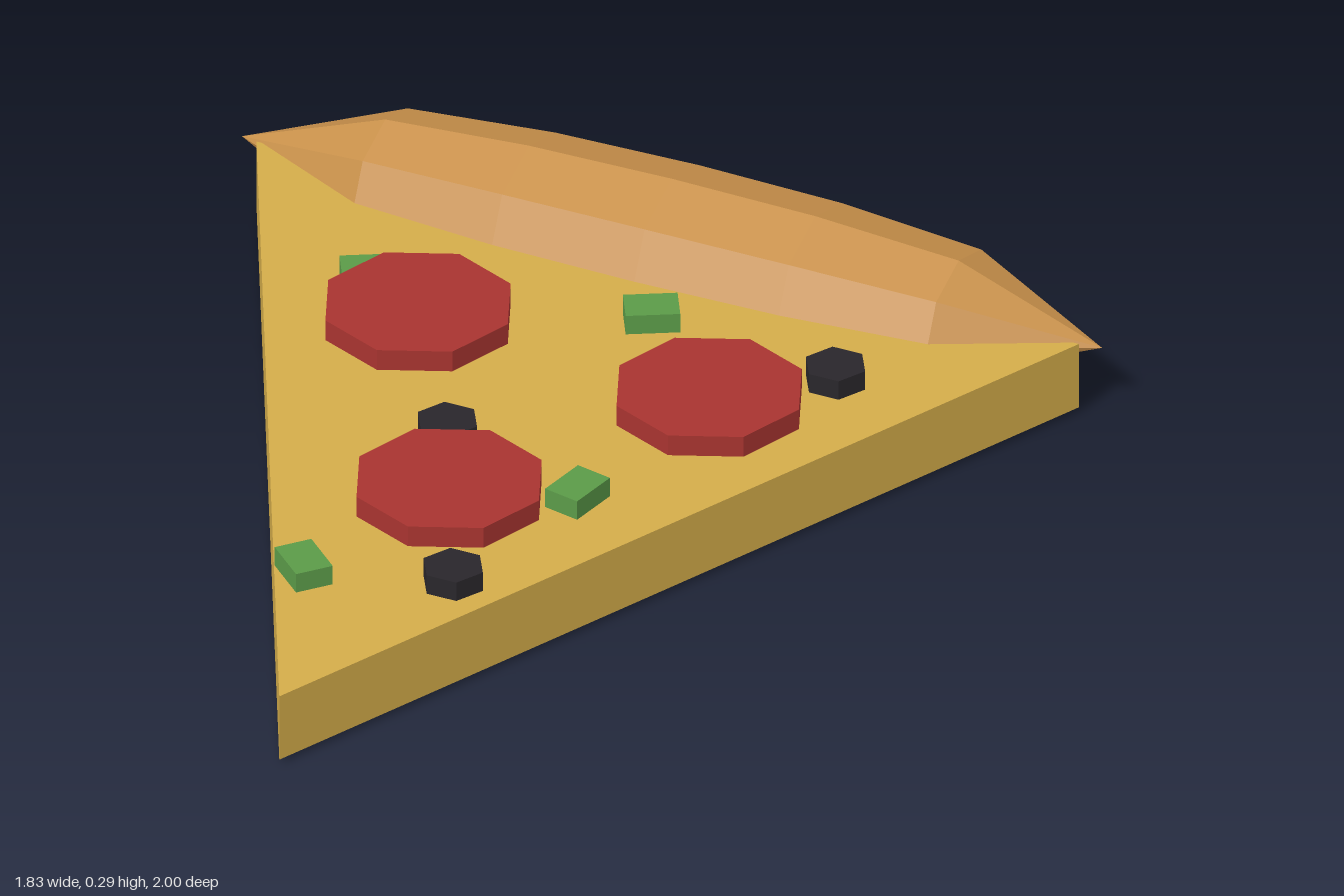
import * as THREE from 'three';

const mat = (color) => new THREE.MeshStandardMaterial({ color, flatShading: true });

export function createModel() {
  const group = new THREE.Group();
  const add = (name, geometry, material, x = 0, y = 0, z = 0, turn = 0) => {
    const mesh = new THREE.Mesh(geometry, material);
    mesh.name = name;
    mesh.position.set(x, y, z);
    mesh.rotation.y = turn;
    group.add(mesh);
    return mesh;
  };

  // Triangular cheese slab, tip towards the front
  const bottom = 0.015, top = 0.16;
  const outline = new THREE.Shape([
    new THREE.Vector2(-0.875, 0.8),
    new THREE.Vector2(0, -1),
    new THREE.Vector2(0.875, 0.8),
  ]);
  const slab = new THREE.ExtrudeGeometry(outline, { depth: top - bottom, bevelEnabled: false });
  slab.rotateX(-Math.PI / 2);
  add('cheeseSlab', slab, mat(0xd4ac4a), 0, bottom, 0);

  // Eight-sided crust roll, pointed at both ends and flattened in height
  const profile = [[0, -0.915], [0.148, -0.61], [0.174, -0.305], [0.18, 0],
    [0.174, 0.305], [0.148, 0.61], [0, 0.915]].map(([r, h]) => new THREE.Vector2(r, h));
  const roll = new THREE.LatheGeometry(profile, 8);
  roll.rotateZ(-Math.PI / 2);
  roll.scale(1, 0.145 / 0.18, 1);
  add('crust', roll, mat(0xc8904a), 0, 0.15, -0.82);

  // Pepperoni discs
  const disc = new THREE.CylinderGeometry(0.191, 0.191, 0.045, 8);
  const red = mat(0xa83430);
  [[-0.32, -0.34], [0.32, -0.295], [0, 0.213]].forEach(([x, z]) =>
    add('pepperoni', disc, red, x, top + 0.0225, z));

  // Olive pieces
  const olive = new THREE.CylinderGeometry(0.063, 0.063, 0.042, 6);
  const black = mat(0x29262b);
  [[0.505, -0.478], [-0.094, 0.016], [0.136, 0.49]].forEach(([x, z]) =>
    add('olive', olive, black, x, top + 0.021, z, Math.PI / 6));

  // Green pepper pieces
  const pepper = new THREE.BoxGeometry(0.106, 0.042, 0.077);
  const green = mat(0x5b9a48);
  [[-0.465, -0.425, 0.5], [0.092, -0.525, 0.5], [0.231, 0.121, 1.36], [-0.14, 0.582, -0.74]]
    .forEach(([x, z, turn]) => add('greenPepper', pepper, green, x, top + 0.021, z, turn));

  return group;
}
